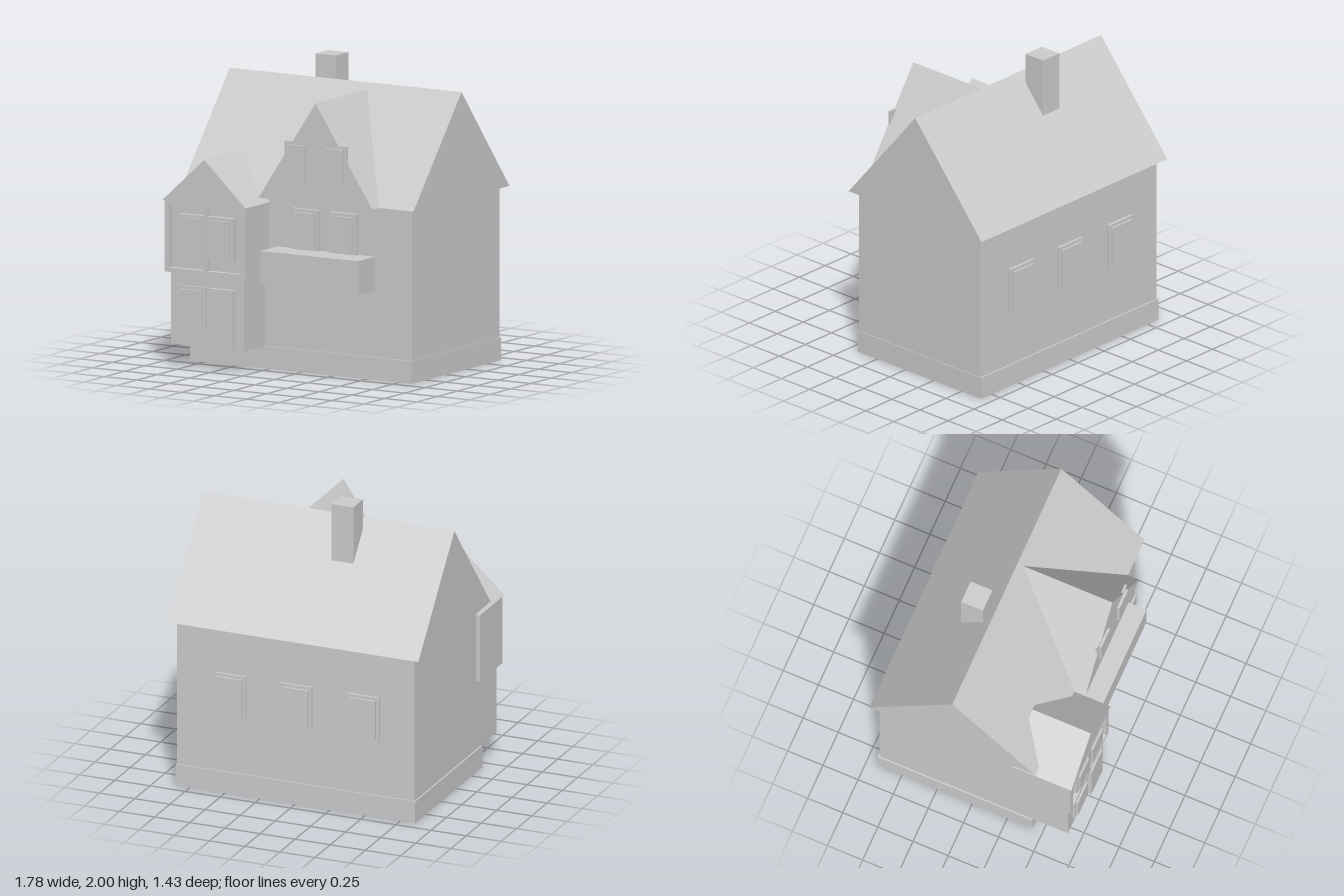
import * as THREE from 'three';

export function createModel() {
  const house = new THREE.Group();
  house.name = 'house';
  const grey = new THREE.MeshStandardMaterial({ color: 0xcccccc });
  grey.name = 'plain grey';

  const add = (name, geometry, parent = house) => {
    const mesh = new THREE.Mesh(geometry, grey);
    mesh.name = name;
    parent.add(mesh);
    return mesh;
  };

  // Box given by its limits on each axis
  const box = (name, x0, x1, y0, y1, z0, z1, parent) => {
    const g = new THREE.BoxGeometry(x1 - x0, y1 - y0, z1 - z0);
    g.translate((x0 + x1) / 2, (y0 + y1) / 2, (z0 + z1) / 2);
    return add(name, g, parent);
  };

  const outline = (points) => points.map(([x, y]) => new THREE.Vector2(x, y));
  const extrude = (points, depth, holes = []) => {
    const shape = new THREE.Shape(outline(points));
    holes.forEach((h) => shape.holes.push(new THREE.Path(outline(h))));
    return new THREE.ExtrudeGeometry(shape, { depth, bevelEnabled: false });
  };

  // Window: a surround with a raised pane; dir is +1 for front, -1 for back
  const windowUnit = (name, x0, x1, y0, y1, z, frame, pane, dir = 1) => {
    const g = new THREE.Group();
    g.name = name;
    house.add(g);
    const b = 0.022;
    const slab = (part, inset, a, c) =>
      box(part, x0 + inset, x1 - inset, y0 + inset, y1 - inset, Math.min(a, c), Math.max(a, c), g);
    slab('windowSurround', 0, z - dir * 0.01, z + dir * frame);
    slab('windowPane', b, z + dir * (frame - 0.005), z + dir * pane);
  };

  // Main block
  box('plinth', -0.855, 0.85, 0, 0.15, -0.675, 0.427);
  box('walls', -0.845, 0.845, 0.15, 1.15, -0.665, 0.415);

  // Main roof, ridge along x
  const roof = extrude([[-0.467, 1.15], [0.715, 1.15], [0.125, 1.857]], 1.785);
  roof.rotateY(Math.PI / 2).translate(-0.895, 0, 0);
  add('mainRoof', roof);
  box('chimney', -0.267, -0.112, 1.5, 2, -0.335, -0.18);

  // Large front gable
  add('frontGable', extrude([[-0.255, 1.15], [0.622, 1.15], [0.185, 1.815]], 0.635).translate(0, 0, -0.09));

  // Two-storey bay
  box('bayLower', -0.845, -0.283, 0.15, 0.63, 0.4, 0.677);
  box('bayUpper', -0.875, -0.255, 0.63, 1.105, 0.34, 0.675);
  add('bayRoof', extrude([[-0.885, 1.105], [-0.245, 1.105], [-0.565, 1.397]], 0.418).translate(0, 0, 0.3));

  // Bay framing: two C-shaped recesses around the paired windows
  const top = 1.075, bottom = 0.66, high = 1.023, low = 0.738;
  const recess = (outer, inner, mid) => [
    [mid, top], [outer, top], [outer, bottom], [mid, bottom],
    [mid, low], [inner, low], [inner, high], [mid, high],
  ];
  add('bayFrame', extrude(
    [[-0.875, 0.63], [-0.255, 0.63], [-0.255, 1.105], [-0.875, 1.105]], 0.035,
    [recess(-0.84, -0.763, -0.58), recess(-0.29, -0.343, -0.548)],
  ).translate(0, 0, 0.674));
  [[-0.742, -0.597], [-0.537, -0.372]].forEach(([a, b]) =>
    box('bayWindowPane', a, b, 0.76, 1.003, 0.7, 0.72));

  // Door and ground floor window
  box('door', -0.537, -0.352, 0.15, 0.548, 0.67, 0.709);
  windowUnit('bayLowerWindow', -0.775, -0.57, 0.278, 0.548, 0.677, 0.018, 0.032);

  // First floor windows above the projecting box
  box('balconyBox', -0.19, 0.561, 0.59, 0.815, 0.4, 0.625);
  [-0.064, 0.227].forEach((x) =>
    windowUnit('frontWindow', x, x + 0.206, 0.815, 1.085, 0.415, 0.028, 0.046));

  // Gable windows, whose surrounds sit flush with the gable face
  [-0.056, 0.238].forEach((x) =>
    windowUnit('gableWindow', x, x + 0.186, 1.273, 1.547, 0.54, 0.004, 0.023));

  // Rear windows
  [-0.485, -0.005, 0.465].forEach((x) =>
    windowUnit('rearWindow', x - 0.115, x + 0.115, 0.527, 0.838, -0.665, 0.018, 0.031, -1));

  return house;
}
